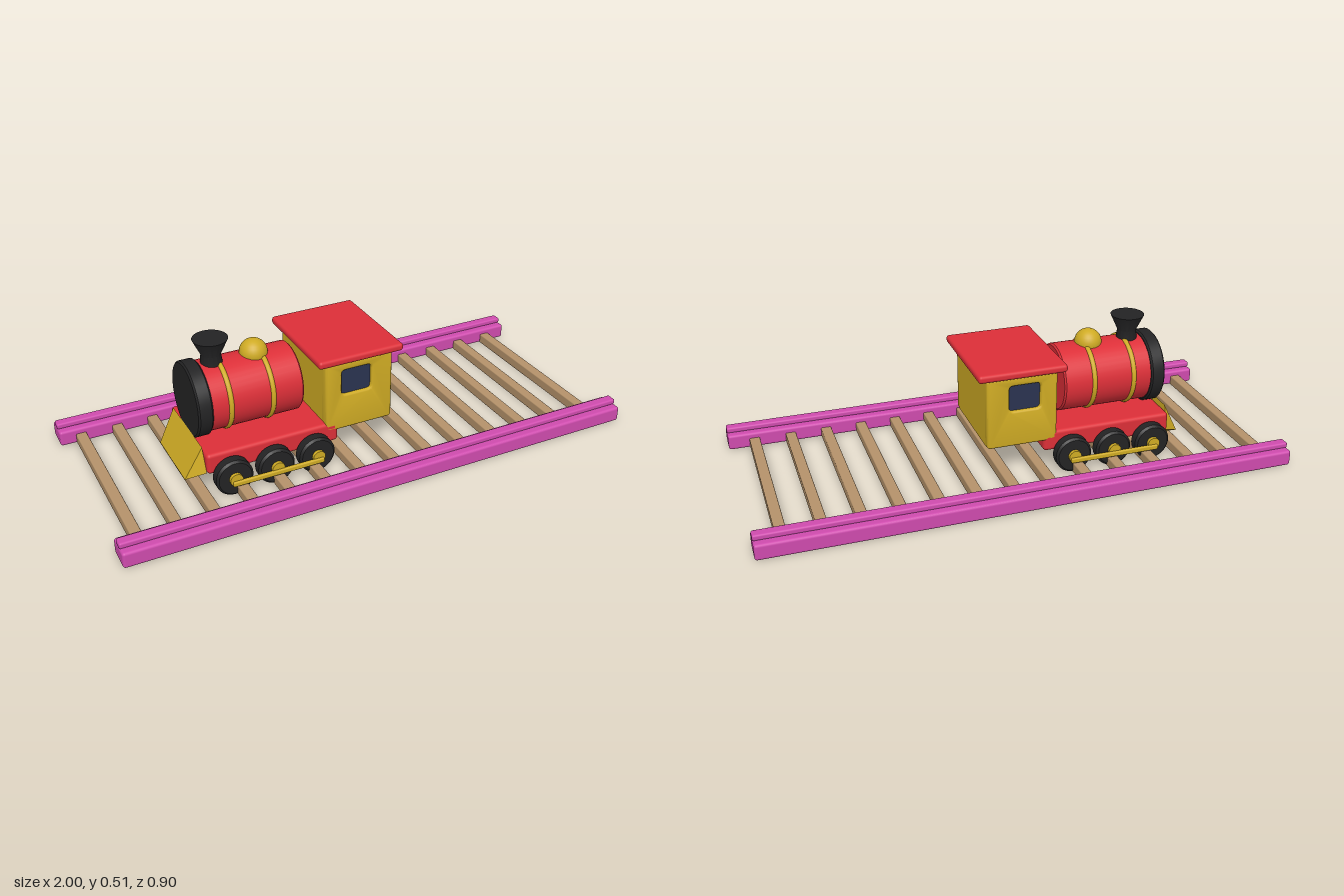
import * as THREE from 'three';
import { RoundedBoxGeometry } from 'three/addons/geometries/RoundedBoxGeometry.js';
import { ConvexGeometry } from 'three/addons/geometries/ConvexGeometry.js';
import { toCreasedNormals } from 'three/addons/utils/BufferGeometryUtils.js';

const paint = (name, color) => {
  const m = new THREE.MeshStandardMaterial({ color });
  m.name = name;
  return m;
};

export function createModel() {
  const red = paint('red', 0xdc2f38);
  const gold = paint('gold', 0xcfab24);
  const black = paint('black', 0x232324);
  const magenta = paint('magenta', 0xcf4bae);
  const wood = paint('wood', 0xb5926a);
  const navy = paint('navy', 0x2a3350);

  const model = new THREE.Group();
  model.name = 'toyTrainOnTrack';
  const add = (name, geometry, material, x = 0, y = 0, z = 0, parent = model) => {
    const mesh = new THREE.Mesh(geometry, material);
    mesh.name = name;
    mesh.position.set(x, y, z);
    parent.add(mesh);
    return mesh;
  };
  // Rounded box given by its limits on each axis
  const block = (name, material, [x0, x1], [y0, y1], [z0, z1], r, parent) =>
    add(name, new RoundedBoxGeometry(x1 - x0, y1 - y0, z1 - z0, 3, r), material,
      (x0 + x1) / 2, (y0 + y1) / 2, (z0 + z1) / 2, parent);
  const lathe = (points) => toCreasedNormals(
    new THREE.LatheGeometry(points.map(([r, h]) => new THREE.Vector2(r, h)), 40), 0.6);
  const roundRect = (path, x0, x1, y0, y1, r) => {
    path.moveTo(x0 + r, y0);
    path.lineTo(x1 - r, y0).quadraticCurveTo(x1, y0, x1, y0 + r);
    path.lineTo(x1, y1 - r).quadraticCurveTo(x1, y1, x1 - r, y1);
    path.lineTo(x0 + r, y1).quadraticCurveTo(x0, y1, x0, y1 - r);
    path.lineTo(x0, y0 + r).quadraticCurveTo(x0, y0, x0 + r, y0);
    return path;
  };

  // Track
  const track = new THREE.Group();
  track.name = 'track';
  model.add(track);
  for (const s of [-1, 1]) {
    block('railBase', magenta, [-1, 1], [0, 0.06], [s * 0.4 - 0.05, s * 0.4 + 0.05], 0.01, track);
    block('railHead', magenta, [-1, 1], [0.058, 0.08], [s * 0.4 - 0.02, s * 0.4 + 0.02], 0.007, track);
  }
  for (let i = 0; i < 14; i++) {
    const x = -0.92 + i * 0.14;
    block('sleeper', wood, [x - 0.02, x + 0.02], [0, 0.04], [-0.352, 0.352], 0.005, track);
  }

  // Engine body
  const engine = new THREE.Group();
  engine.name = 'engine';
  model.add(engine);
  block('chassis', red, [-0.61, -0.1], [0.08, 0.16], [-0.19, 0.19], 0.014, engine);

  const along = (mesh) => { mesh.rotation.z = Math.PI / 2; return mesh; };
  along(add('boiler', lathe([[0, -0.2], [0.124, -0.2], [0.13, -0.194], [0.13, 0.194], [0.124, 0.2], [0, 0.2]]),
    red, -0.405, 0.29, 0, engine));
  along(add('smokebox', lathe([[0, -0.028], [0.134, -0.028], [0.14, -0.022], [0.14, 0.022], [0.134, 0.028], [0, 0.028]]),
    black, -0.583, 0.29, 0, engine));
  for (const x of [-0.485, -0.325]) {
    const band = add('boilerBand', new THREE.TorusGeometry(0.127, 0.01, 12, 48), gold, x, 0.29, 0, engine);
    band.rotation.y = Math.PI / 2;
  }
  add('chimney', lathe([[0, 0.4], [0.042, 0.4], [0.036, 0.45], [0.064, 0.51], [0, 0.51]]),
    black, -0.505, 0, 0, engine);
  add('steamDome', new THREE.SphereGeometry(0.052, 32, 16), gold, -0.345, 0.418, 0, engine);

  // Wedge-shaped guard at the front of the engine
  const wedge = [];
  for (const s of [-1, 1]) {
    wedge.push(new THREE.Vector3(-0.678, 0.05, s * 0.135), new THREE.Vector3(-0.6, 0.05, s * 0.13),
      new THREE.Vector3(-0.61, 0.083, s * 0.178), new THREE.Vector3(-0.612, 0.175, s * 0.15));
  }
  add('trackGuard', new ConvexGeometry(wedge), gold, 0, 0, 0, engine);

  // Cab: core, side walls with window openings, recessed glass and roof
  block('cabCore', gold, [-0.15, 0.12], [0.125, 0.402], [-0.172, 0.172], 0.008, engine);
  const bevel = 0.008;
  const wallShape = roundRect(new THREE.Shape(), -0.15 + bevel, 0.12 - bevel, 0.125 + bevel, 0.402 - bevel, 0.006);
  wallShape.holes.push(roundRect(new THREE.Path(), -0.093, 0.043, 0.257, 0.374, 0.025));
  const wall = toCreasedNormals(new THREE.ExtrudeGeometry(wallShape, {
    depth: 0.024, bevelEnabled: true, bevelSize: bevel, bevelThickness: bevel, bevelSegments: 3, curveSegments: 6,
  }), 0.6);
  wall.translate(0, 0, -0.012);
  const pane = new THREE.ShapeGeometry(roundRect(new THREE.Shape(), -0.09, 0.04, 0.26, 0.371, 0.02));
  for (const s of [-1, 1]) {
    add('cabSide', wall, gold, 0, 0, s * 0.17, engine);
    const glass = add('cabWindow', pane, navy, s > 0 ? 0 : -0.05, 0, s * 0.177, engine);
    if (s < 0) glass.rotation.y = Math.PI;
  }
  block('cabRoof', red, [-0.183, 0.156], [0.4, 0.43], [-0.21, 0.21], 0.012, engine);

  // Wheels, hubs and coupling rods
  const wheel = lathe([[0, -0.024], [0.062, -0.024], [0.07, -0.016], [0.07, 0.016], [0.062, 0.024], [0, 0.024]]);
  const hub = new THREE.CylinderGeometry(0.024, 0.024, 0.03, 24);
  for (const s of [-1, 1]) {
    for (const x of [-0.525, -0.365, -0.205]) {
      add('wheel', wheel, black, x, 0.07, s * 0.212, engine).rotation.x = Math.PI / 2;
      add('wheelHub', hub, gold, x, 0.07, s * 0.234, engine).rotation.x = Math.PI / 2;
    }
    block('couplingRod', gold, [-0.54, -0.187], [0.048, 0.068], [s * 0.25 - 0.007, s * 0.25 + 0.007], 0.005, engine);
  }
  return model;
}
